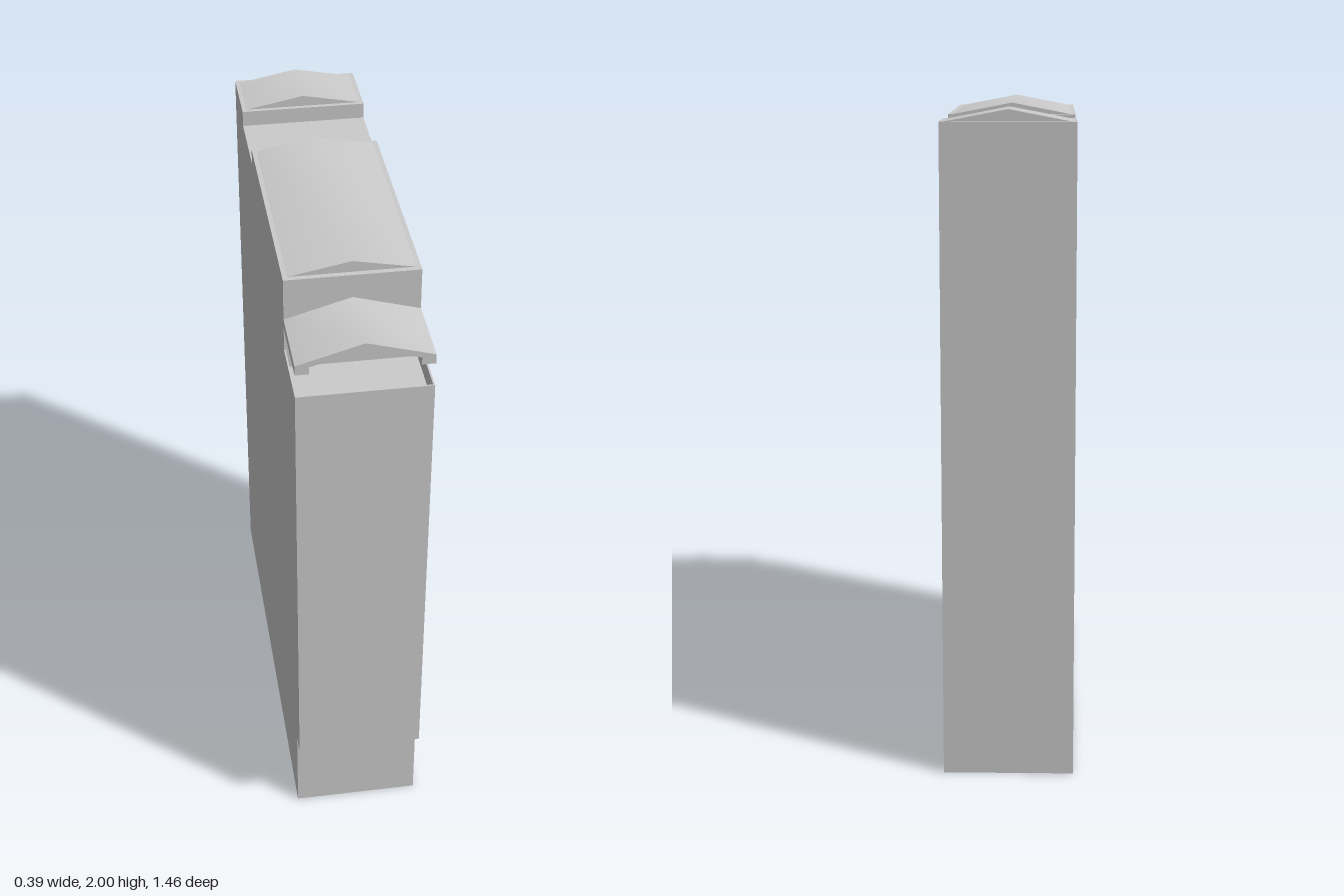
import * as THREE from 'three';
import { toCreasedNormals } from 'three/addons/utils/BufferGeometryUtils.js';

const W = 0.197; // half width
const FRONT = 0.73, BACK = -0.73, TERRACE = 0.5;
const material = new THREE.MeshStandardMaterial({ color: 0xcccccc });

function polygon(points) {
  return new THREE.Shape(points.map(([x, y]) => new THREE.Vector2(x, y)));
}

function addMesh(group, name, geometry) {
  const mesh = new THREE.Mesh(geometry, material);
  mesh.name = name;
  group.add(mesh);
}

// Extrude an x-y outline from z0 to z1, smoothing gentle ridges
function alongZ(points, z0, z1) {
  const geometry = new THREE.ExtrudeGeometry(polygon(points), { depth: z1 - z0, bevelEnabled: false });
  geometry.translate(0, 0, z0);
  return toCreasedNormals(geometry, 0.6);
}

export function createModel() {
  const model = new THREE.Group();
  model.name = 'townhouse';

  // Main block: side outline (z, y) extruded across the width
  const floorY = 1.67, railY = 1.73, wallTop = 1.965;
  const body = new THREE.ExtrudeGeometry(polygon([
    [BACK, 0], [0.67, 0], [0.67, 0.297], [FRONT, 0.297], [FRONT, floorY],
    [TERRACE, floorY], [TERRACE, wallTop], [-0.257, wallTop], [-0.257, 1.915],
    [-0.508, 1.915], [-0.508, wallTop], [BACK, wallTop],
  ]), { depth: 2 * W, bevelEnabled: false });
  body.translate(0, 0, -W).rotateY(-Math.PI / 2);
  addMesh(model, 'mainBlock', body);

  // Thin parapet around the terrace
  const t = 0.005, h = railY - floorY, midY = (railY + floorY) / 2;
  for (const side of [-1, 1]) {
    const wall = new THREE.BoxGeometry(t, h, FRONT - TERRACE);
    wall.translate(side * (W - t / 2), midY, (FRONT + TERRACE) / 2);
    addMesh(model, side > 0 ? 'leftParapet' : 'rightParapet', wall);
  }
  const frontWall = new THREE.BoxGeometry(2 * (W - t), h, t);
  frontWall.translate(0, midY, FRONT - t / 2);
  addMesh(model, 'frontParapet', frontWall);

  // Low gabled roofs, set in slightly from the walls
  const gable = [[-0.183, wallTop], [0.183, wallTop], [0, 2]];
  addMesh(model, 'mainRoof', alongZ(gable, -0.243, 0.483));
  addMesh(model, 'rearRoof', alongZ(gable, -0.714, -0.522));

  // Gabled canopy over the terrace with small feet at its eaves
  addMesh(model, 'canopy', alongZ([
    [-W, 1.805], [-0.157, 1.805], [-0.157, 1.828], [0, 1.873], [0.157, 1.828],
    [0.157, 1.805], [W, 1.805], [W, 1.835], [0, 1.892], [-W, 1.835],
  ], TERRACE, FRONT));

  return model;
}
